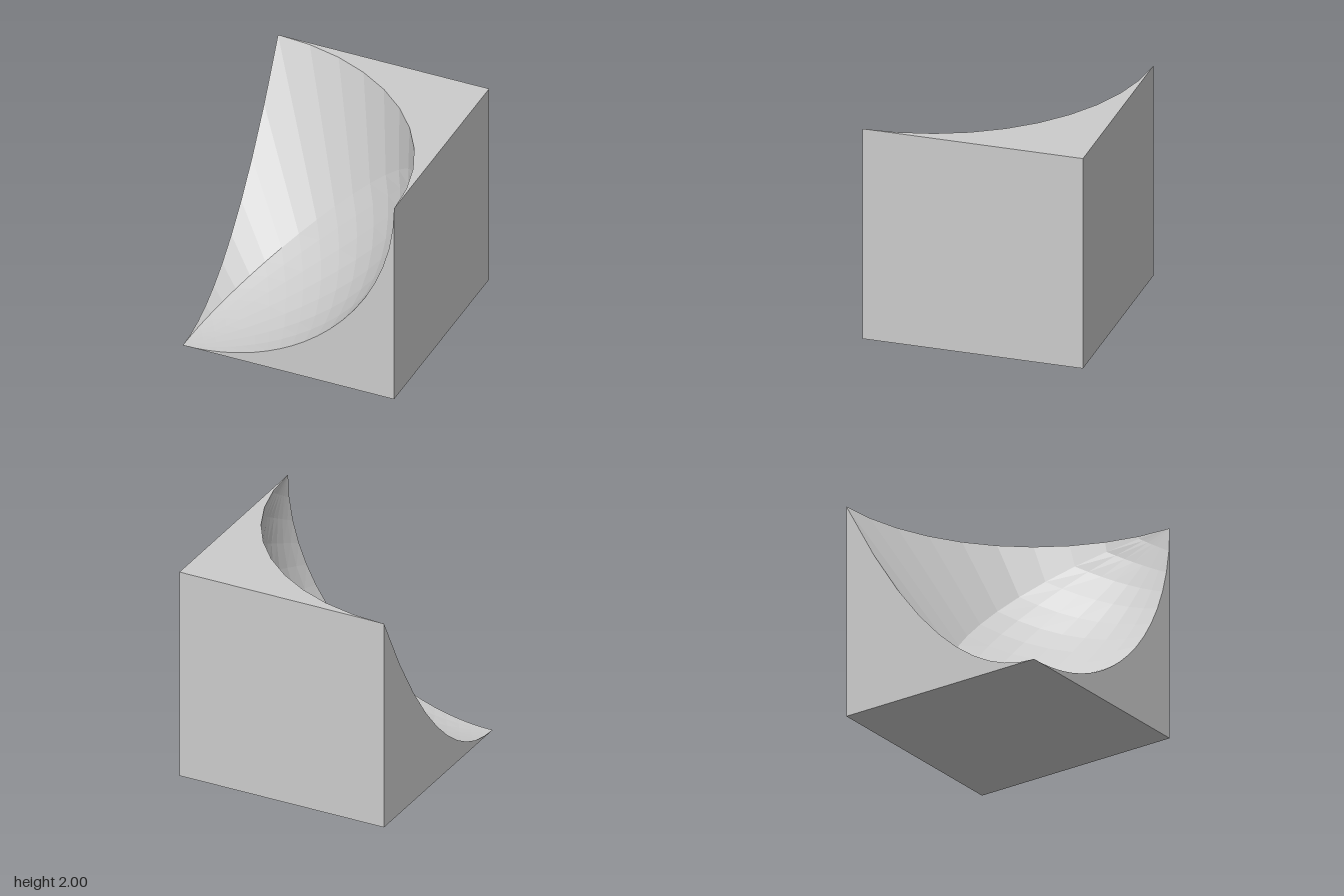
import * as THREE from 'three';

const N = 20;          // columns around the hollow
const ROWS = 7;        // rows across the spherical floor
const CENTRE = new THREE.Vector3(-1, 2, 1);
const material = new THREE.MeshStandardMaterial({ color: 0xcccccc, flatShading: true });

const columns = (fn) => Array.from({ length: N + 1 }, (_, k) => fn((Math.PI * k) / N));

function meshFrom(name, points, index) {
  const geometry = new THREE.BufferGeometry().setFromPoints(points);
  geometry.setIndex(index);
  geometry.computeVertexNormals();
  const mesh = new THREE.Mesh(geometry, material);
  mesh.name = name;
  return mesh;
}

// Skin between successive rows of points
function skin(name, rows) {
  const index = [];
  for (let j = 0; j < rows.length - 1; j++) {
    for (let k = 0; k < N; k++) {
      const a = j * (N + 1) + k, c = a + N + 1;
      index.push(a, a + 1, c, a + 1, c + 1, c);
    }
  }
  return meshFrom(name, rows.flat(), index);
}

// Flat wall spreading from a cube corner to a curved edge
function fan(name, corner, edge, flip) {
  const index = [];
  for (let k = 1; k < edge.length; k++) index.push(0, ...(flip ? [k + 1, k] : [k, k + 1]));
  return meshFrom(name, [corner, ...edge], index);
}

function squareWall(name, position, rotation) {
  const mesh = new THREE.Mesh(new THREE.PlaneGeometry(2, 2), material);
  mesh.name = name;
  mesh.position.set(...position);
  mesh.rotation.set(...rotation);
  return mesh;
}

export function createModel() {
  const group = new THREE.Group();
  group.name = 'hollowedCube';

  // Angle on the slanted circle whose tangent plane also touches the rim at t
  const matched = (t) => 2 * Math.atan2(Math.SQRT2 * Math.sin(t / 2), Math.cos(t / 2));

  // Slanted circle where the upper wall meets the spherical floor
  const crease = columns((t) => {
    const p = matched(t);
    return new THREE.Vector3(Math.cos(p), 1 + Math.cos(p), 1 - Math.SQRT2 * Math.sin(p));
  });

  // Top rim; past the side of the cube it follows the cut through the wall
  const rim = columns((t) => new THREE.Vector3(-1 + 2 * Math.cos(t), 2, 1 - 2 * Math.sin(t)));
  rim.forEach((p, k) => {
    if (k > N / 2) p.lerp(crease[k], (-1 - p.x) / (crease[k].x - p.x));
  });

  // Quarter circle on the front face
  const frontArc = columns((t) => {
    const a = matched(t) / 2;
    return new THREE.Vector3(-1 + 2 * Math.cos(a), 2 - 2 * Math.sin(a), 1);
  });

  // Floor rows, pushed out onto the sphere
  const floorRows = Array.from({ length: ROWS + 1 }, (_, j) =>
    crease.map((p, k) =>
      p.clone().lerp(frontArc[k], j / ROWS).sub(CENTRE).setLength(2).add(CENTRE)));

  group.add(
    skin('hollowUpperWall', [rim, crease]),
    skin('hollowSphericalFloor', floorRows),
    fan('topFace', new THREE.Vector3(1, 2, -1), rim.slice(0, N / 2 + 1), true),
    fan('frontFace', new THREE.Vector3(1, 0, 1), frontArc, false),
    fan('rightFace', new THREE.Vector3(-1, 0, -1), rim.slice(N / 2), true),
    squareWall('leftFace', [1, 1, 0], [0, Math.PI / 2, 0]),
    squareWall('backFace', [0, 1, -1], [0, Math.PI, 0]),
    squareWall('bottomFace', [0, 0, 0], [Math.PI / 2, 0, 0]),
  );
  return group;
}
